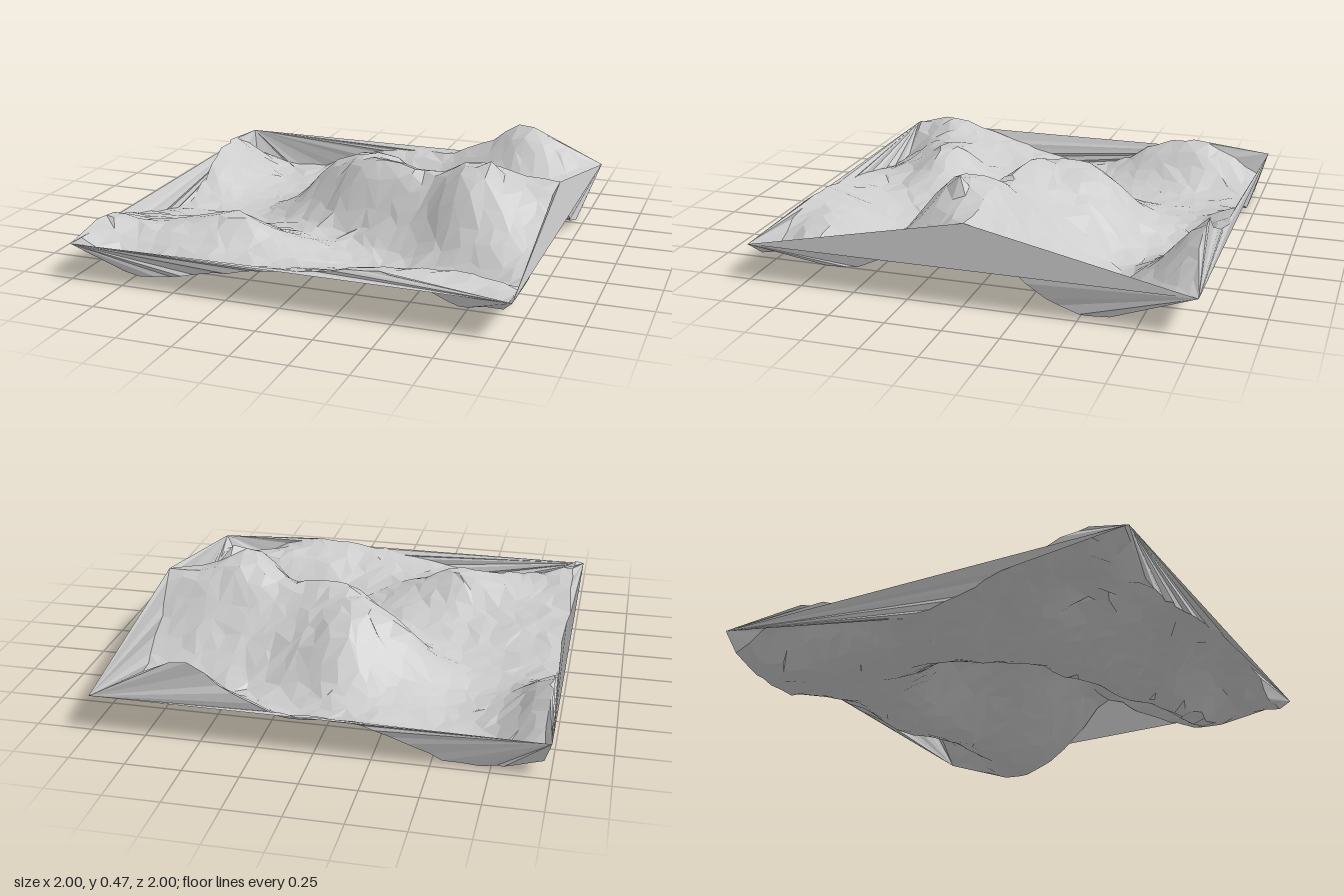
import * as THREE from 'three';

const R = 0.96;      // half width of the relief inside the border
const N = 28;        // cells per side
const RIM_Y = 0.165; // height of the outer square edge

// Relief heights in hundredths: rows run back to front, columns -x to +x
const HEIGHTS = [
  [6, 1, 1, 7, 13, 15, 16, 24, 35, 28, 17],
  [17, 3, 1, 2, 6, 4, 4, 10, 16, 14, 8],
  [22, 6, 1, 3, 7, 10, 5, 2, 3, 3, 1],
  [17, 5, 0, 6, 16, 29, 21, 12, 9, 7, 5],
  [6, 1, 0, 10, 29, 35, 29, 24, 23, 22, 18],
  [3, 1, 0, 4, 14, 33, 37, 35, 42, 39, 37],
  [7, 6, 5, 5, 7, 9, 17, 26, 42, 34, 24],
  [12, 11, 10, 13, 11, 7, 5, 6, 16, 19, 15],
  [18, 16, 21, 25, 17, 9, 4, 3, 3, 4, 9],
  [23, 19, 17, 14, 11, 10, 11, 15, 17, 17, 13],
  [18, 6, 5, 8, 12, 15, 18, 21, 18, 10, 12],
];

function catmull(values, t) {
  const last = values.length - 1;
  const i = Math.min(last - 1, Math.floor(t));
  const f = t - i;
  const at = (k) => values[Math.max(0, Math.min(last, k))];
  const [a, b, c, d] = [at(i - 1), at(i), at(i + 1), at(i + 2)];
  return b + 0.5 * f * (c - a + f * (2 * a - 5 * b + 4 * c - d + f * (3 * (b - c) + d - a)));
}

function heightAt(x, z) {
  const toIndex = (v) => Math.max(0, Math.min(10, ((v + R) / (2 * R)) * 10));
  const column = HEIGHTS.map((row) => catmull(row, toIndex(x)));
  return catmull(column, toIndex(z)) / 100;
}

function seededRandom(seed) {
  return () => {
    seed = (seed * 16807) % 2147483647;
    return seed / 2147483647 - 0.5;
  };
}

function meshFrom(points, faces, material, name) {
  const positions = faces.flatMap((i) => points[i]);
  const geometry = new THREE.BufferGeometry();
  geometry.setAttribute('position', new THREE.Float32BufferAttribute(positions, 3));
  geometry.computeVertexNormals();
  const mesh = new THREE.Mesh(geometry, material);
  mesh.name = name;
  return mesh;
}

export function createModel() {
  const group = new THREE.Group();
  group.name = 'terrain';
  const material = new THREE.MeshStandardMaterial({
    color: 0xcccccc, flatShading: true, side: THREE.DoubleSide,
  });
  const random = seededRandom(4271);
  const cell = (2 * R) / N;
  const id = (i, j) => j * (N + 1) + i;

  // Irregular grid of relief points, with a slightly ragged rim
  const place = (k) => {
    const v = -R + k * cell;
    return k % N ? v + random() * cell * 0.65 : v * (1 - random() * 0.02);
  };
  const points = [];
  for (let j = 0; j <= N; j++) {
    for (let i = 0; i <= N; i++) {
      const x = place(i), z = place(j);
      points.push([x, THREE.MathUtils.clamp(heightAt(x, z) + random() * 0.014, 0, 0.45), z]);
    }
  }

  // Summit of the main ridge
  points[id(24, 16)] = [0.68, 0.467, 0.12];

  // Border sides, walked clockwise; apex is the rim point that reaches furthest out
  const corners = [[-1, -1], [1, -1], [1, 1], [-1, 1]].map(([x, z]) => points.push([x, RIM_Y, z]) - 1);
  const sides = [
    { apex: 15, rim: (k) => id(k, 0) },
    { apex: 14, rim: (k) => id(N, k) },
    { apex: 13, rim: (k) => id(N - k, N) },
    { apex: 8, rim: (k) => id(0, N - k) },
  ];
  const borderFaces = [];
  sides.forEach(({ apex, rim }, s) => {
    const start = corners[s], end = corners[(s + 1) % 4];
    const tip = points[rim(apex)];
    const axis = s % 2 ? 0 : 2;
    tip[axis] = Math.sign(tip[axis]) * 0.975;
    borderFaces.push(start, rim(apex), end);
    for (let k = 0; k < N; k++) {
      borderFaces.push(k < apex ? start : end, rim(k), rim(k + 1));
    }
  });

  // Relief surface with varied diagonals
  const reliefFaces = [];
  for (let j = 0; j < N; j++) {
    for (let i = 0; i < N; i++) {
      const a = id(i, j), b = id(i + 1, j), c = id(i, j + 1), d = id(i + 1, j + 1);
      if (random() > 0) reliefFaces.push(a, c, b, b, c, d);
      else reliefFaces.push(a, c, d, a, d, b);
    }
  }

  group.add(meshFrom(points, reliefFaces, material, 'reliefSurface'));
  group.add(meshFrom(points, borderFaces, material, 'outerBorder'));
  return group;
}
